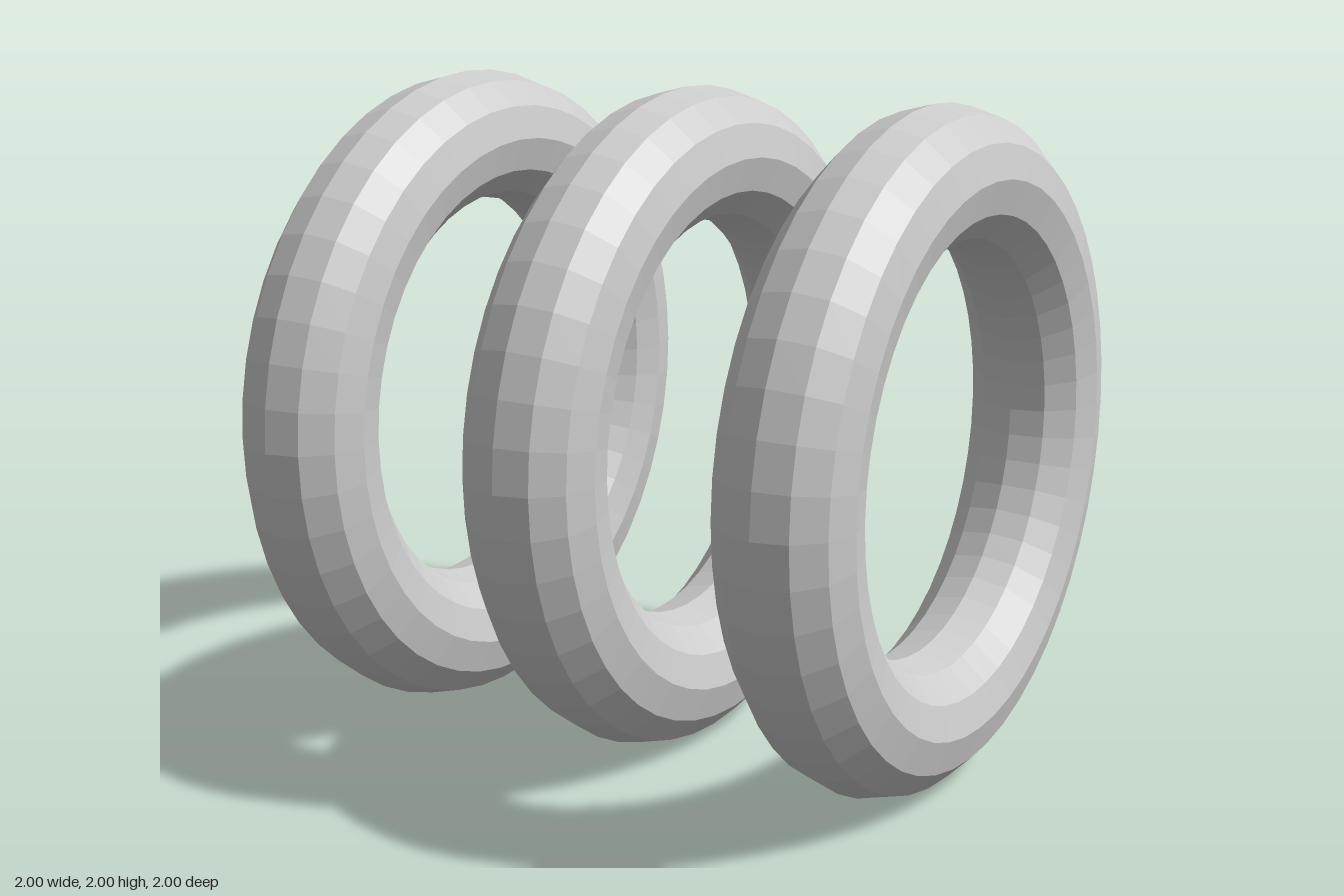
import * as THREE from 'three';

export function createModel() {
  const group = new THREE.Group();
  group.name = 'ringRow';

  const material = new THREE.MeshStandardMaterial({ color: 0xcccccc, flatShading: true });

  // Faceted ring standing upright, its axis along x
  const ringGeometry = new THREE.TorusGeometry(0.8, 0.2, 12, 48);
  ringGeometry.rotateY(Math.PI / 2);

  // Three equal rings, evenly spaced from right to left
  ['rightRing', 'middleRing', 'leftRing'].forEach((name, i) => {
    const ring = new THREE.Mesh(ringGeometry, material);
    ring.name = name;
    ring.position.set((i - 1) * 0.8, 1, 0);
    group.add(ring);
  });

  return group;
}
